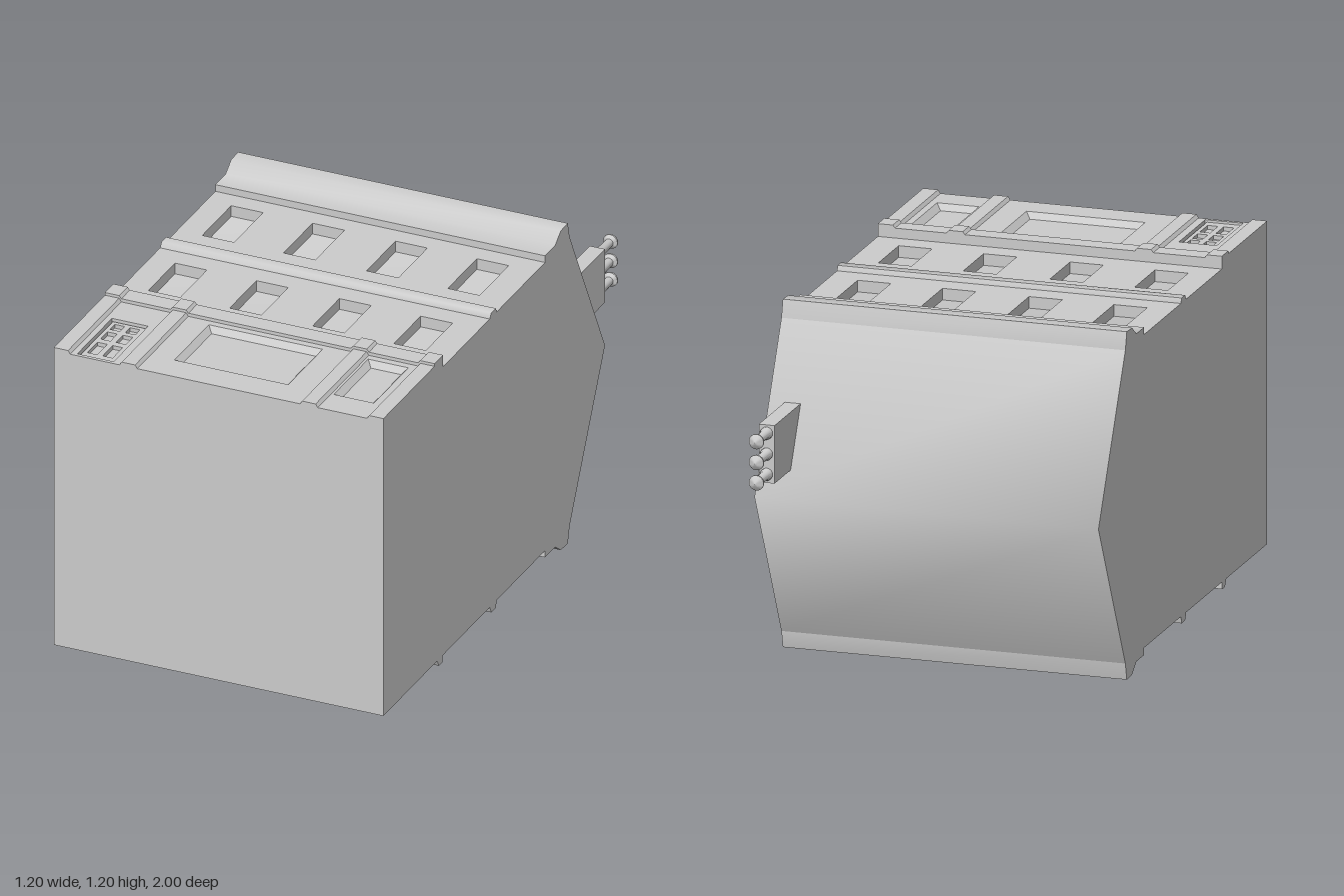
import * as THREE from 'three';
import { toCreasedNormals } from 'three/addons/utils/BufferGeometryUtils.js';

const W = 0.6; // half width
const MID = 0.6; // depth of the ridge line

export function createModel() {
  const grey = new THREE.MeshStandardMaterial({ color: 0xcccccc });
  // The house is built upright (y = height, z = depth), then laid on its back.
  const house = new THREE.Group();
  house.name = 'house';

  const add = (name, geometry) => {
    const mesh = new THREE.Mesh(geometry, grey);
    mesh.name = name;
    house.add(mesh);
    return mesh;
  };
  const polygon = (pts) => new THREE.Shape(pts.map(([x, y]) => new THREE.Vector2(x, y)));
  const extrude = (shape, depth) => new THREE.ExtrudeGeometry(shape, { depth, bevelEnabled: false });
  const rect = ([x0, x1, y0, y1]) => [[x0, y0], [x1, y0], [x1, y1], [x0, y1]];

  // Wall panel with rectangular openings, between depths z0 and z1
  const panel = (name, outline, holes, z0, z1) => {
    const shape = polygon(rect(outline));
    holes.forEach((h) => shape.holes.push(polygon(rect(h).reverse())));
    return add(name, extrude(shape, z1 - z0).translate(0, 0, z0));
  };
  // Full-width bar from a (depth, height) profile
  const bar = (name, pts) => {
    const g = extrude(polygon(pts), 2 * W).rotateY(-Math.PI / 2).translate(W, 0, 0);
    return add(name, toCreasedNormals(g, 1.0));
  };
  const mirrored = (pts) => pts.map(([z, y]) => [2 * MID - z, y]).reverse();
  // Upright bar from an (x, depth) plan
  const upright = (name, plan, y0, y1) => {
    const g = extrude(polygon(plan.map(([x, z]) => [x, -z])), y1 - y0);
    return add(name, g.rotateX(-Math.PI / 2).translate(0, y0, 0));
  };

  // Core and gabled roof
  bar('coreAndRoof', [
    [0.1, 0], [1.1, 0], [1.1, 1.4], [1.14, 1.475], [MID, 1.755], [0.06, 1.475], [0.1, 1.4],
  ]);

  // Front and back walls with their windows
  const columns = [-0.452, -0.156, 0.146, 0.442];
  const windowAt = (x, y0, y1) => [x - 0.058, x + 0.058, y0, y1];
  const upperWindows = columns.flatMap((x) => [windowAt(x, 0.553, 0.765), windowAt(x, 0.98, 1.21)]);
  const backDoor = [-0.22, -0.09, 0.013, 0.29];
  const groundWindows = [0, 2, 3].map((i) => windowAt(columns[i], 0.11, 0.33));
  panel('frontWall', [-W, W, 0, 1.3], upperWindows, 1.1, 1.14);
  panel('backWall', [-W, W, 0, 1.3], [...upperWindows, ...groundWindows, backDoor], 0.06, 0.1);

  // Eaves cornices and string courses
  const eaves = [
    [1.0, 1.28], [1.165, 1.28], [1.165, 1.36], [1.198, 1.405], [1.2, 1.46], [1.14, 1.475], [1.0, 1.475],
  ];
  bar('frontEaves', eaves);
  bar('backEaves', mirrored(eaves));
  const course = (y, out) => [
    [1.1, y], [1.14, y], [out, y + 0.012], [out, y + 0.048], [1.14, y + 0.055], [1.1, y + 0.055],
  ];
  bar('frontStringCourse', course(0.842, 1.157));
  bar('backStringCourse', mirrored(course(0.842, 1.165)));
  bar('backLowerCourse', mirrored([
    [1.1, 0.425], [1.14, 0.425], [1.165, 0.44], [1.165, 0.468], [1.14, 0.468], [1.1, 0.468],
  ]));

  // Shopfront panel with display windows and door opening
  const shopWindows = [[-0.21, 0.204, 0.107, 0.38], [0.37, 0.516, 0.107, 0.38]];
  const frontDoor = [-0.52, -0.388, 0.013, 0.287];
  panel('shopfront', [-W, W, 0, 0.41], [...shopWindows, frontDoor], 1.13, 1.162);

  // Splayed reveals around the display windows
  for (const [x0, x1, y0, y1] of shopWindows) {
    const s = 0.018;
    const outer = rect([x0, x1, y0, y1]).map((p) => [...p, 1.162]);
    const inner = rect([x0 + s, x1 - s, y0 + s, y1 - s]).map((p) => [...p, 1.141]);
    const pos = [];
    for (let i = 0; i < 4; i++) {
      const j = (i + 1) % 4;
      pos.push(...outer[i], ...outer[j], ...inner[j], ...outer[i], ...inner[j], ...inner[i]);
    }
    const g = new THREE.BufferGeometry();
    g.setAttribute('position', new THREE.Float32BufferAttribute(pos, 3));
    g.computeVertexNormals();
    add('windowReveal', g);
  }

  // Doors with two columns of sunk panels
  const door = (name, [x0, x1, y0, y1], z0, z1) => {
    const holes = [];
    const mid = (x0 + x1) / 2;
    for (const [a, b] of [[0.035, 0.115], [0.14, 0.195], [0.215, 0.253]]) {
      holes.push([x0 + 0.02, mid - 0.01, y0 + a, y0 + b], [mid + 0.01, x1 - 0.02, y0 + a, y0 + b]);
    }
    panel(name, [x0 + 0.006, x1 - 0.006, y0, y1 - 0.006], holes, z0, z1);
  };
  door('frontDoor', frontDoor, 1.135, 1.154);
  door('backDoor', backDoor, 0.08, 0.105);

  // Piers with bevelled sides, and the fascia that breaks forward over them
  const piers = [[-0.6, -0.548], [-0.353, -0.304], [0.304, 0.353], [0.548, 0.6]];
  const bump = ([a, b], low, high) => [
    [a === -W ? a : a - 0.008, low], [a, high], [b, high], [b === W ? b : b + 0.008, low],
  ];
  const fascia = [[W, 1.1], [-W, 1.1]];
  for (const p of piers) {
    upright('pier', [...bump(p, 1.162, 1.174), [p[1], 1.14], [p[0], 1.14]].reverse(), 0, 0.41);
    fascia.push(...bump(p, 1.174, 1.184));
  }
  upright('shopFascia', fascia.reverse(), 0.405, 0.472);

  // Chimney stack and pots
  add('chimneyStack', new THREE.BoxGeometry(0.055, 0.275, 0.2).translate(0.517, 1.7375, 0.79));
  const potProfile = [
    [0.021, 0], [0.021, 0.012], [0.016, 0.022], [0.015, 0.095], [0.026, 0.105], [0.026, 0.111], [0.012, 0.122], [0, 0.127],
  ].map(([r, y]) => new THREE.Vector2(r, y));
  for (const z of [0.72, 0.79, 0.862]) {
    const pot = add('chimneyPot', toCreasedNormals(new THREE.LatheGeometry(potProfile, 16), 0.6));
    pot.position.set(0.517, 1.873, z);
  }

  // Lay the house on its back
  house.rotation.x = -Math.PI / 2;
  house.position.z = 1;
  const model = new THREE.Group();
  model.name = 'townHouse';
  model.add(house);
  return model;
}
